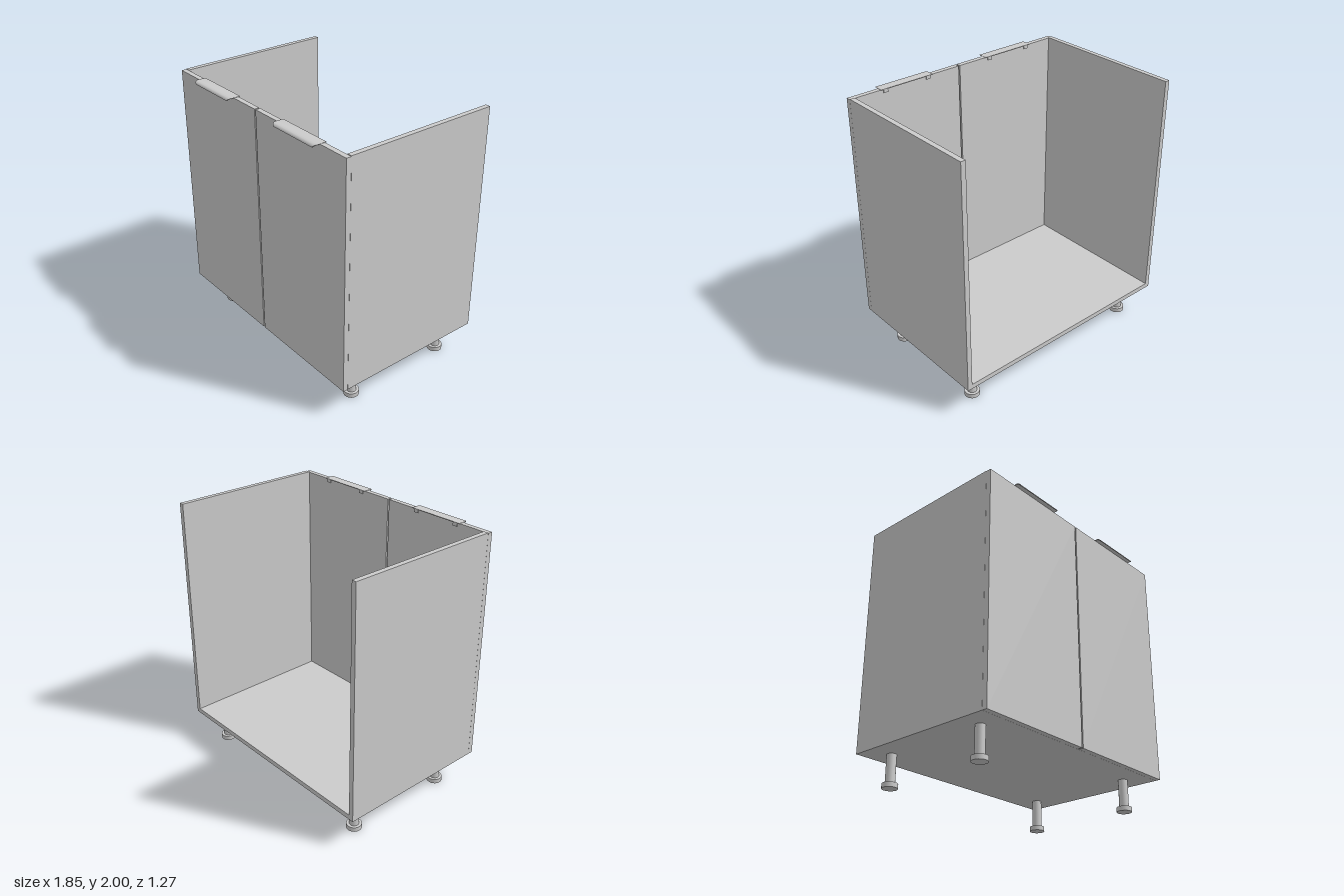
import * as THREE from 'three';
import { toCreasedNormals } from 'three/addons/utils/BufferGeometryUtils.js';

const grey = new THREE.MeshStandardMaterial({ color: 0xcccccc });

function mesh(name, geometry, parent) {
  const m = new THREE.Mesh(geometry, grey);
  m.name = name;
  parent.add(m);
  return m;
}

// Box given by its minimum and maximum corners
function panel(name, [x0, y0, z0], [x1, y1, z1], parent) {
  const m = mesh(name, new THREE.BoxGeometry(x1 - x0, y1 - y0, z1 - z0), parent);
  m.position.set((x0 + x1) / 2, (y0 + y1) / 2, (z0 + z1) / 2);
  return m;
}

// Bent sheet pull: flat on the door top, curling down at the front, corners tapered
function handleGeometry(width) {
  const s = new THREE.Shape();
  s.moveTo(0.54, 2.0);
  s.lineTo(0.605, 2.0);
  s.quadraticCurveTo(0.63, 1.999, 0.633, 1.98);
  s.lineTo(0.628, 1.98);
  s.quadraticCurveTo(0.624, 1.994, 0.605, 1.995);
  s.lineTo(0.54, 1.995);
  s.closePath();
  const g = new THREE.ExtrudeGeometry(s, { depth: width, bevelEnabled: false, curveSegments: 8 });
  g.translate(0, 0, -width / 2);
  g.rotateY(-Math.PI / 2);
  const p = g.attributes.position;
  for (let i = 0; i < p.count; i++) {
    const t = Math.max(0, (p.getZ(i) - 0.605) / 0.028);
    const drop = (2.0 - p.getY(i)) / 0.02;
    const inset = t > 0 ? 0.012 * t * t + 0.012 * drop : 0;
    p.setX(i, p.getX(i) - Math.sign(p.getX(i)) * inset);
  }
  return toCreasedNormals(g, 0.6);
}

export function createModel() {
  const model = new THREE.Group();
  model.name = 'baseCabinet';
  const W = 0.925, T = 0.037, base = 0.24, back = -0.635, front = 0.548, doorFront = 0.587;

  // Carcass: open top and back
  panel('bottomPanel', [-W + T, base, back], [W - T, base + T, front], model);

  for (const s of [1, -1]) {
    const side = s > 0 ? 'left' : 'right';
    const span = (a, b) => (s > 0 ? [a, b] : [-b, -a]);

    const [a0, a1] = span(W - T, W);
    panel(side + 'SidePanel', [a0, base, back], [a1, 2, front], model);

    const [d0, d1] = span(0.006, W);
    panel(side + 'Door', [d0, base, front + 0.001], [d1, 1.996, doorFront], model);

    // Handle with two small fixing tabs behind the door
    const handle = new THREE.Group();
    handle.name = side + 'Handle';
    handle.position.x = s * 0.463;
    model.add(handle);
    mesh('handlePlate', handleGeometry(0.436), handle);
    for (const x of [-0.18, 0.18]) {
      panel('handleTab', [x - 0.018, 1.972, 0.54], [x + 0.018, 1.997, 0.547], handle);
    }

    // Adjustable legs
    for (const z of [0.372, -0.463]) {
      const leg = new THREE.Group();
      leg.name = side + (z > 0 ? 'FrontLeg' : 'BackLeg');
      leg.position.set(s * 0.757, 0, z);
      model.add(leg);
      mesh('legPost', new THREE.CylinderGeometry(0.035, 0.035, base - 0.035, 20), leg).position.y = (base + 0.035) / 2;
      mesh('legFoot', new THREE.CylinderGeometry(0.056, 0.056, 0.035, 20), leg).position.y = 0.0175;
    }
  }
  return model;
}
